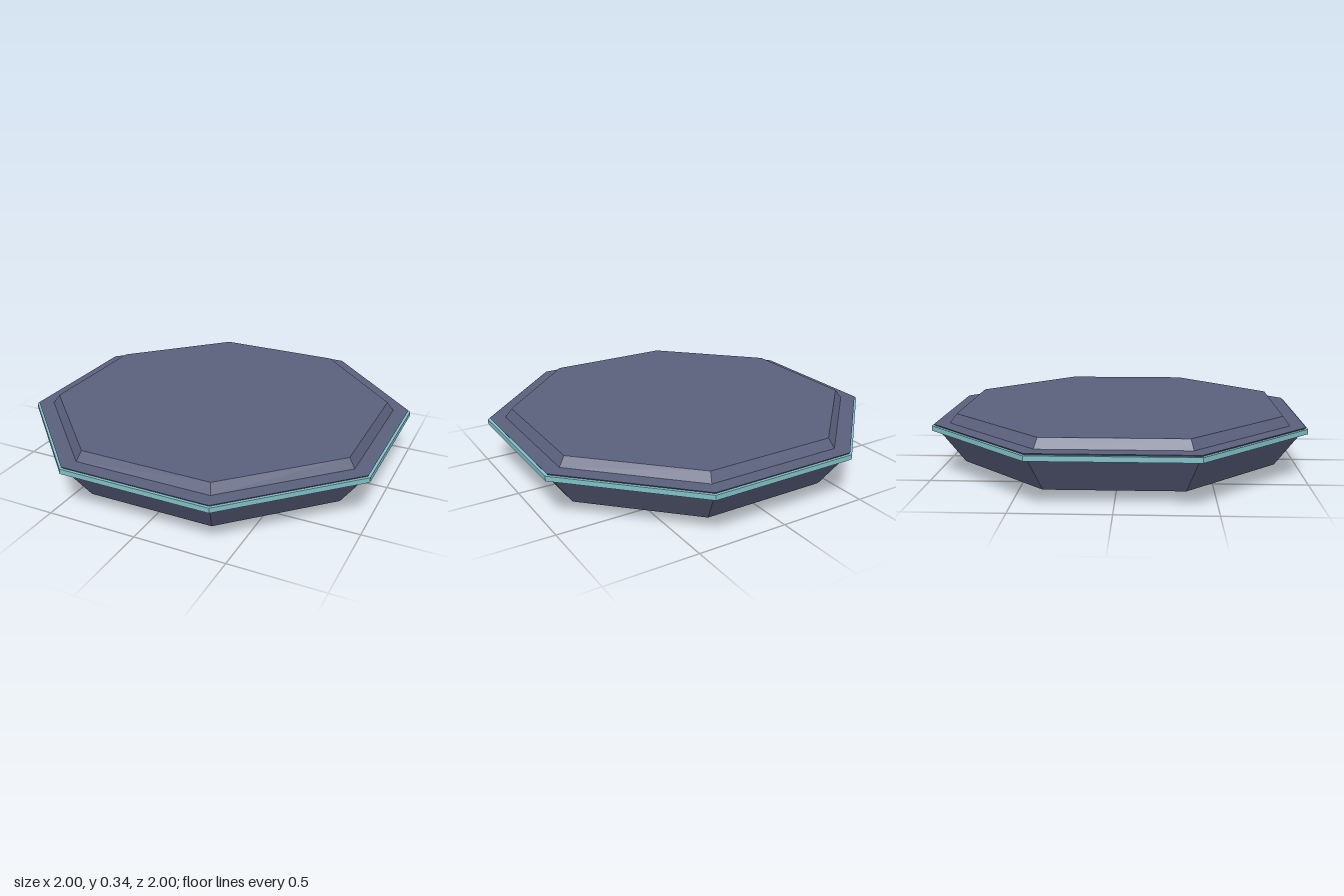
import * as THREE from 'three';

const SIDES = 8;

export function createModel() {
  const group = new THREE.Group();
  const slate = new THREE.MeshStandardMaterial({ color: 0x5a607c });
  slate.name = 'slate blue';
  const teal = new THREE.MeshStandardMaterial({ color: 0x80c0c6 });
  teal.name = 'pale teal';

  // Octagonal frustum; widths are measured from the centre to the flat sides
  function octagon(name, material, bottom, top, y0, y1) {
    const k = 1 / Math.cos(Math.PI / SIDES);
    const geometry = new THREE.CylinderGeometry(top * k, bottom * k, y1 - y0, SIDES).toNonIndexed();
    geometry.rotateY(Math.PI / SIDES);
    geometry.translate(0, (y0 + y1) / 2, 0);
    geometry.computeVertexNormals(); // flat facets
    const mesh = new THREE.Mesh(geometry, material);
    mesh.name = name;
    group.add(mesh);
  }

  octagon('underside emitter', teal, 0.34, 0.465, 0, 0.067);
  octagon('hull', slate, 0.84, 0.99, 0.067, 0.288);
  octagon('rim band', teal, 1, 1, 0.253, 0.28);
  octagon('top deck', slate, 0.91, 0.876, 0.288, 0.337);

  return group;
}
